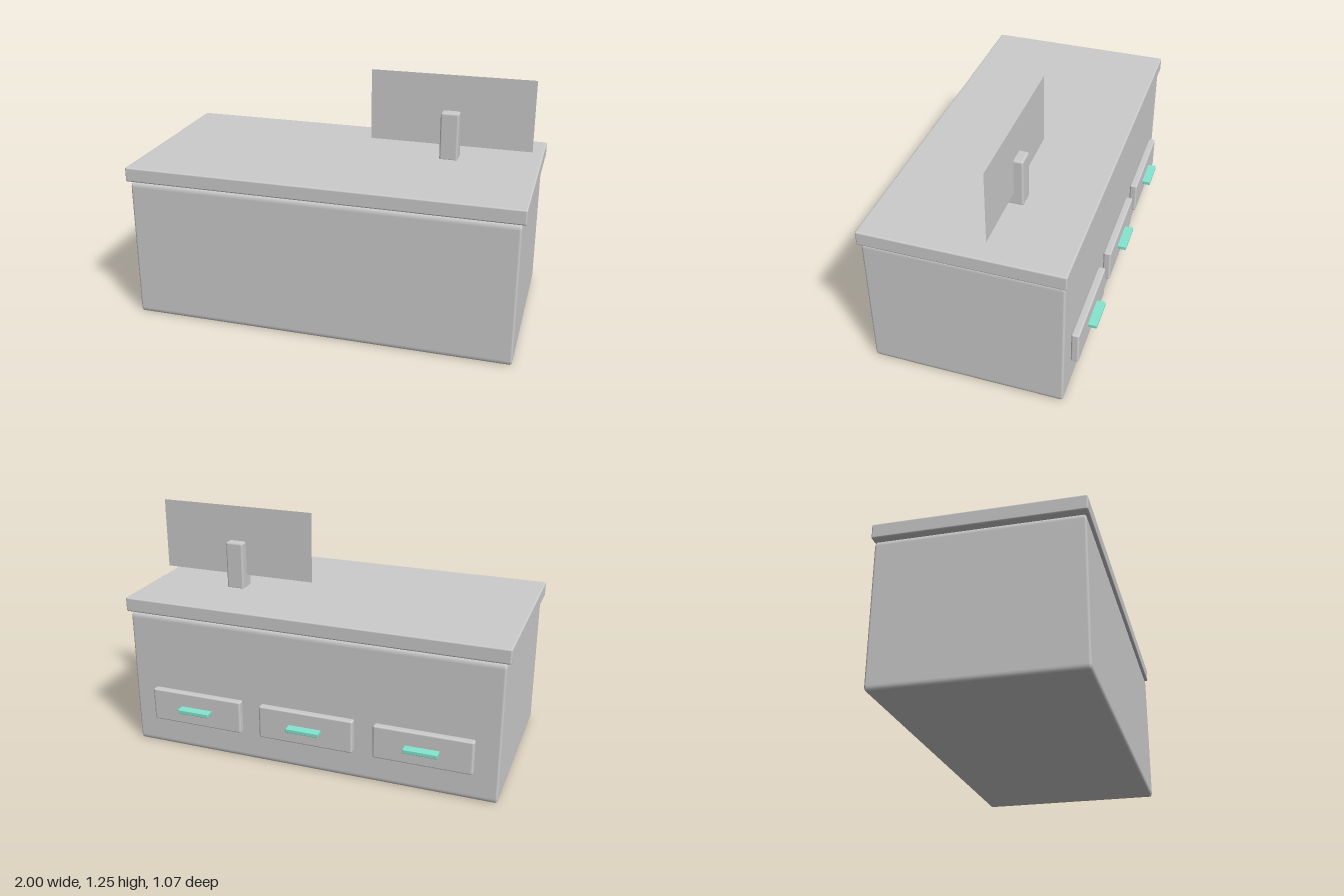
import * as THREE from 'three';
import { RoundedBoxGeometry } from 'three/addons/geometries/RoundedBoxGeometry.js';

const grey = new THREE.MeshStandardMaterial({ color: 0xcccccc });
grey.name = 'light grey';
const teal = new THREE.MeshStandardMaterial({ color: 0x84e6d0 });
teal.name = 'teal';

// Box between two corners, with its own edge rounding along each axis
function roundedBox(name, material, min, max, bevel) {
  const size = max.map((v, i) => v - min[i]);
  const [w, h, d] = size.map((s, i) => s / bevel[i]);
  const geometry = new RoundedBoxGeometry(w, h, d, 2, 1).scale(...bevel);
  const mesh = new THREE.Mesh(geometry, material);
  mesh.name = name;
  mesh.position.set(...min.map((v, i) => v + size[i] / 2));
  return mesh;
}

export function createModel() {
  const model = new THREE.Group();
  model.name = 'counter';

  // Cabinet and overhanging top
  model.add(roundedBox('cabinet', grey, [-0.98, 0, -0.452], [0.98, 0.73, 0.527], [0.012, 0.025, 0.012]));
  model.add(roundedBox('countertop', grey, [-1, 0.738, -0.463], [1, 0.813, 0.538], [0.008, 0.008, 0.008]));

  // Post carrying a thin screen
  model.add(roundedBox('screenPost', grey, [0.488, 0.805, -0.128], [0.582, 1.06, -0.032], [0.01, 0.012, 0.01]));
  const screenMaterial = grey.clone();
  screenMaterial.side = THREE.DoubleSide;
  const screen = new THREE.Mesh(new THREE.PlaneGeometry(0.84, 0.37), screenMaterial);
  screen.name = 'screen';
  screen.position.set(0.535, 1.062, -0.082);
  model.add(screen);

  // Three drawers with pulls across the back
  for (const x of [-0.608, 0, 0.608]) {
    const drawer = new THREE.Group();
    drawer.name = 'drawer';
    drawer.add(roundedBox('drawerFront', grey, [x - 0.252, 0.155, -0.491], [x + 0.252, 0.33, -0.45], [0.012, 0.008, 0.01]));
    drawer.add(roundedBox('drawerPull', teal, [x - 0.087, 0.234, -0.536], [x + 0.087, 0.255, -0.485], [0.004, 0.003, 0.003]));
    model.add(drawer);
  }
  return model;
}
